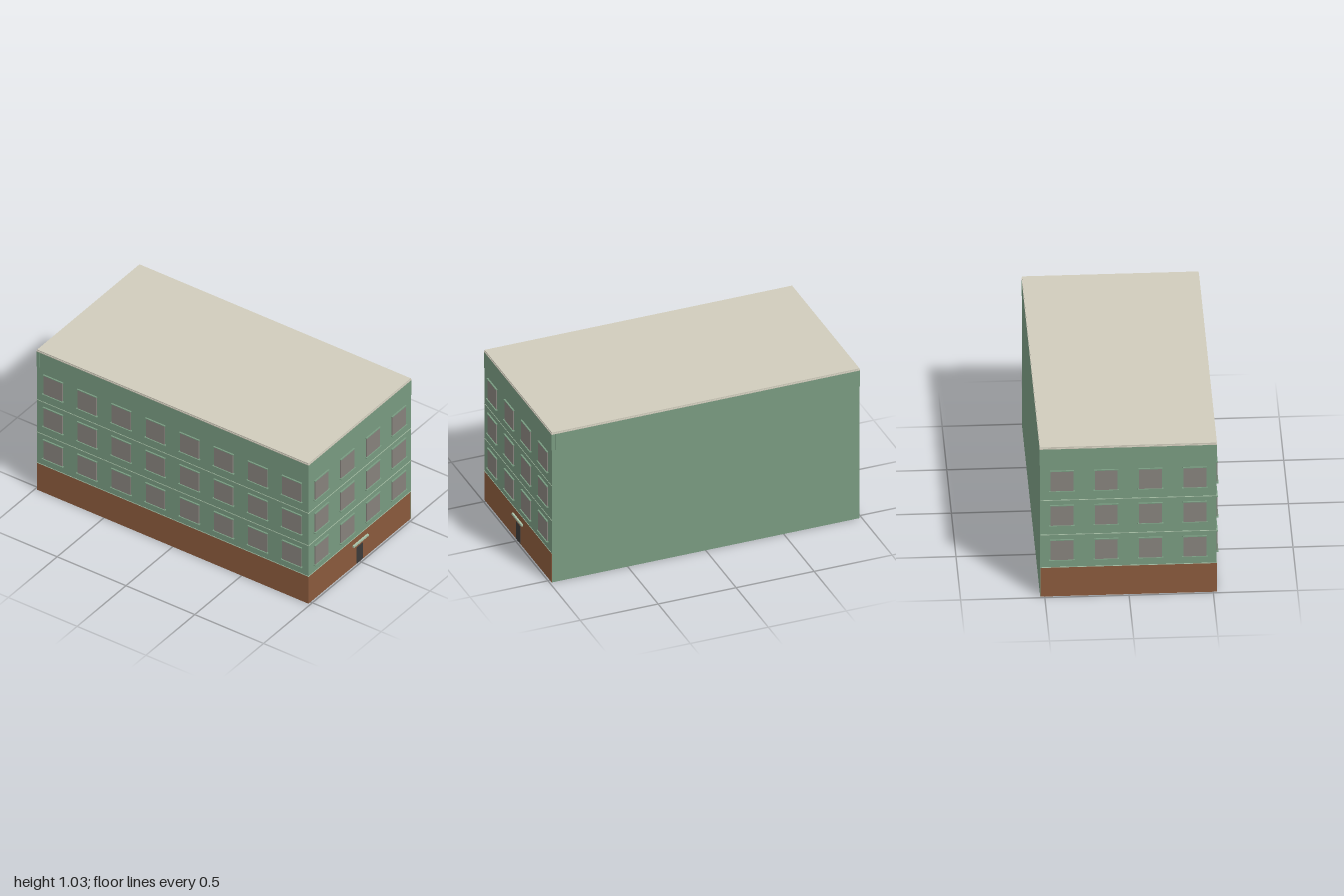
import * as THREE from 'three';

const mat = (color) => new THREE.MeshStandardMaterial({ color });

export function createModel() {
  const model = new THREE.Group();
  const green = mat(0x789a80), brown = mat(0x8a5a3c), grey = mat(0x86827c);
  const beige = mat(0xd0ccbc), pale = mat(0xa9c2a8), dark = mat(0x3c3a38);

  // Box given by its limits on each axis
  function block(parent, name, material, [x0, x1], [y0, y1], [z0, z1]) {
    const mesh = new THREE.Mesh(new THREE.BoxGeometry(x1 - x0, y1 - y0, z1 - z0), material);
    mesh.position.set((x0 + x1) / 2, (y0 + y1) / 2, (z0 + z1) / 2);
    mesh.name = name;
    parent.add(mesh);
    return mesh;
  }

  const L = -0.52, R = 0.527, Z = 0.986, MX = (L + R) / 2;

  // Walls, with the ground storey in brown on the three street sides
  block(model, 'walls', green, [L, R], [0, 0.91], [-Z, Z]);
  block(model, 'groundStorey', brown, [L - 0.001, R - 0.002], [0, 0.2], [-Z - 0.001, Z + 0.001]);

  // Thin pale belts between the storeys
  for (const y of [0.2, 0.425, 0.663]) {
    block(model, 'storeyBelt', pale, [L - 0.002, R - 0.002], [y - 0.002, y + 0.002], [-Z - 0.002, Z + 0.002]);
  }

  // Parapet: end bands run the full width, side bands fit between them
  const P = [0.908, 1.016];
  block(model, 'parapetCore', green, [L, R], P, [-Z + 0.02, Z - 0.02]);
  for (const s of [-1, 1]) {
    const z = [s * (Z + 0.003), s * (Z - 0.02)].sort((a, b) => a - b);
    block(model, 'parapetEndBand', green, [L - 0.003, R + 0.003], P, z);
  }
  block(model, 'parapetSideBand', green, [L - 0.003, L + 0.02], P, [-0.965, 0.965]);
  block(model, 'parapetSideBand', green, [R - 0.02, R + 0.002], P, [-0.965, 0.965]);

  // Flat roof in two thin layers
  block(model, 'roofEdge', beige, [L - 0.003, R + 0.003], [1.016, 1.022], [-Z - 0.003, Z + 0.003]);
  block(model, 'roof', beige, [L, R], [1.022, 1.03], [-Z, Z]);

  // Window facing +z, standing on its sill line, wall plane at z = 0
  function makeWindow() {
    const g = new THREE.Group();
    g.name = 'window';
    block(g, 'pane', grey, [-0.068, 0.068], [0.003, 0.137], [-0.004, 0.007]);
    block(g, 'lintel', green, [-0.072, 0.072], [0.137, 0.142], [-0.004, 0.01]);
    block(g, 'sill', green, [-0.076, 0.076], [-0.003, 0.003], [-0.004, 0.014]);
    return g;
  }
  function addWindow(x, y, z, turn) {
    const w = makeWindow();
    w.position.set(x, y, z);
    w.rotation.y = turn;
    model.add(w);
  }

  // Three rows of windows on front, back and the -x side
  for (const y of [0.25, 0.488, 0.726]) {
    for (let i = 0; i < 4; i++) {
      const x = MX + (i - 1.5) * 0.263;
      addWindow(x, y, Z, 0);
      addWindow(x, y, -Z, Math.PI);
    }
    for (let i = 0; i < 8; i++) addWindow(L, y, (i - 3.5) * 0.248, -Math.PI / 2);
  }

  // Entrance with its small canopy
  block(model, 'door', dark, [-0.03, 0.038], [0, 0.12], [Z - 0.01, Z + 0.0015]);
  block(model, 'doorCanopy', pale, [-0.07, 0.081], [0.144, 0.157], [Z - 0.004, Z + 0.012]);

  return model;
}
